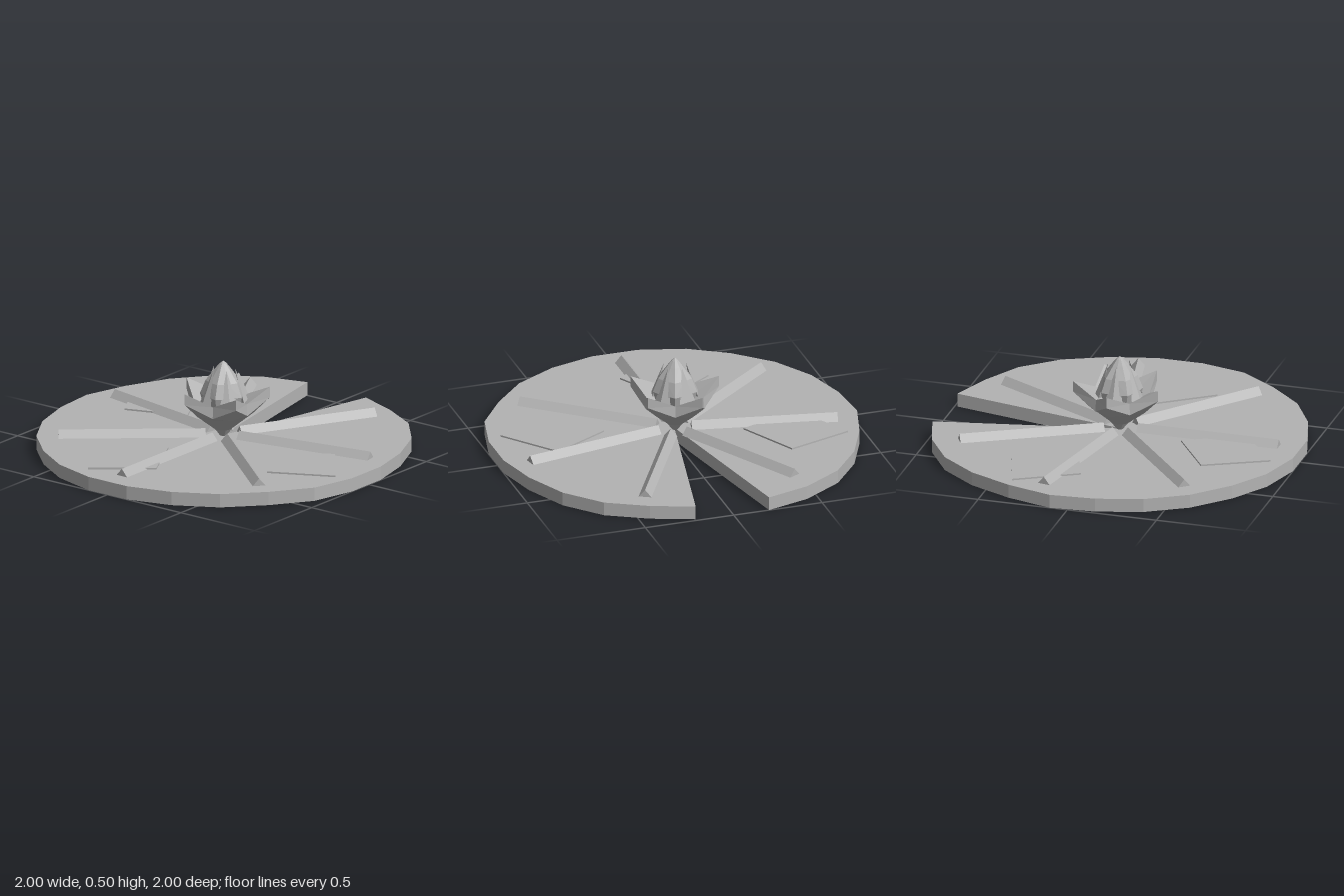
import * as THREE from 'three';

const PAD_TOP = 0.075;
const grey = new THREE.MeshStandardMaterial({ color: 0xb3b3b3, flatShading: true, side: THREE.DoubleSide });
grey.name = 'stone grey';

function add(parent, geometry, name) {
  const mesh = new THREE.Mesh(geometry, grey);
  mesh.name = name;
  parent.add(mesh);
  return mesh;
}

// Flat slab from an outline of [x, z] points
function slab(points, y, height) {
  const shape = new THREE.Shape(points.map(([x, z]) => new THREE.Vector2(x, -z)));
  const g = new THREE.ExtrudeGeometry(shape, { depth: height, bevelEnabled: false });
  return g.rotateX(-Math.PI / 2).translate(0, y, 0);
}

// Five-pointed loft; each ring is [tipRadius, tipY, valleyRadius, valleyY]
function starLoft(rings, turn) {
  const n = 10, pos = [], index = [];
  for (const [tr, ty, vr, vy] of rings) {
    for (let i = 0; i < n; i++) {
      const a = turn + (i / n) * Math.PI * 2;
      const r = i % 2 ? vr : tr;
      pos.push(r * Math.cos(a), i % 2 ? vy : ty, r * Math.sin(a));
    }
  }
  for (let k = 0; k < rings.length - 1; k++) {
    for (let i = 0; i < n; i++) {
      const a = k * n + i, b = k * n + (i + 1) % n;
      // Diagonals mirror on both sides of every tip
      if (i % 2) index.push(a, a + n, b, b, a + n, b + n);
      else index.push(a, b + n, b, a, a + n, b + n);
    }
  }
  const g = new THREE.BufferGeometry();
  g.setAttribute('position', new THREE.Float32BufferAttribute(pos, 3));
  g.setIndex(index);
  g.computeVertexNormals();
  return g;
}

export function createModel() {
  const model = new THREE.Group();
  model.name = 'lilyPad';

  // Leaf with a wedge notch on +x
  add(model, slab([
    [0, 0], [1, -0.2], [0.93, -0.44], [0.79, -0.66], [0.59, -0.82], [0.35, -0.93],
    [0.1, -1], [-0.15, -0.98], [-0.4, -0.91], [-0.62, -0.78], [-0.8, -0.59],
    [-0.93, -0.38], [-1, -0.13], [-1, 0.13], [-0.93, 0.38], [-0.8, 0.61],
    [-0.61, 0.79], [-0.4, 0.94], [-0.15, 1], [0.1, 1], [0.35, 0.94],
    [0.59, 0.83], [0.78, 0.66], [0.9, 0.44], [0.985, 0.21],
  ], 0, PAD_TOP), 'leaf');

  // Seven ridged veins
  const section = new THREE.Shape([
    new THREE.Vector2(-0.036, 0), new THREE.Vector2(0.036, 0), new THREE.Vector2(0, 0.042),
  ]);
  const vein = new THREE.ExtrudeGeometry(section, { depth: 0.79, bevelEnabled: false });
  vein.translate(0, 0, 0.095);
  for (let k = 0; k < 7; k++) {
    const a = THREE.MathUtils.degToRad(28.6 + 50.47 * k);
    const mesh = add(model, vein, 'vein');
    mesh.rotation.y = Math.PI / 2 - a;
    mesh.position.set(0.005, PAD_TOP - 0.001, 0.005);
  }

  // Thin patches on the leaf
  const patches = [
    [[0.02, -0.68], [0.35, -0.865], [0.465, -0.51], [0.14, -0.345]],
    [[-0.9, -0.21], [-0.56, -0.38], [-0.36, -0.085], [-0.675, 0.08]],
    [[-0.07, 0.375], [0.1, 0.69], [-0.19, 0.92], [-0.36, 0.585]],
  ];
  for (const p of patches) add(model, slab(p, PAD_TOP, 0.009), 'leafPatch');

  // Flower
  const flower = new THREE.Group();
  flower.name = 'flower';
  flower.position.x = 0.01;
  model.add(flower);

  // Outer cup with five thick petal tips
  add(flower, starLoft([
    [0, 0.05, 0, 0.05],
    [0.05, 0.115, 0.045, 0.115],
    [0.165, 0.205, 0.14, 0.2],
    [0.25, 0.29, 0.165, 0.215],
    [0.25, 0.35, 0.16, 0.28],
    [0.1, 0.26, 0.1, 0.25],
  ], -Math.PI / 2), 'outerPetals');

  // Closed bud, ridge to the front
  add(flower, starLoft([
    [0.1, 0.23, 0.09, 0.23],
    [0.125, 0.31, 0.11, 0.31],
    [0.095, 0.385, 0.085, 0.385],
    [0.045, 0.45, 0.04, 0.45],
    [0.02, 0.48, 0.018, 0.48],
    [0, 0.495, 0, 0.495],
  ], Math.PI / 2), 'bud');

  // Small pointed petals hugging the bud
  for (let k = 0; k < 5; k++) {
    const pivot = new THREE.Group();
    pivot.name = 'innerPetal';
    pivot.rotation.y = Math.PI + (k * Math.PI * 2) / 5;
    const petal = add(pivot, new THREE.ConeGeometry(0.055, 0.21, 4), 'innerPetalBlade');
    petal.scale.z = 0.4;
    petal.position.set(0, 0.355, 0.09);
    petal.rotation.x = -0.27;
    flower.add(pivot);
  }
  return model;
}
